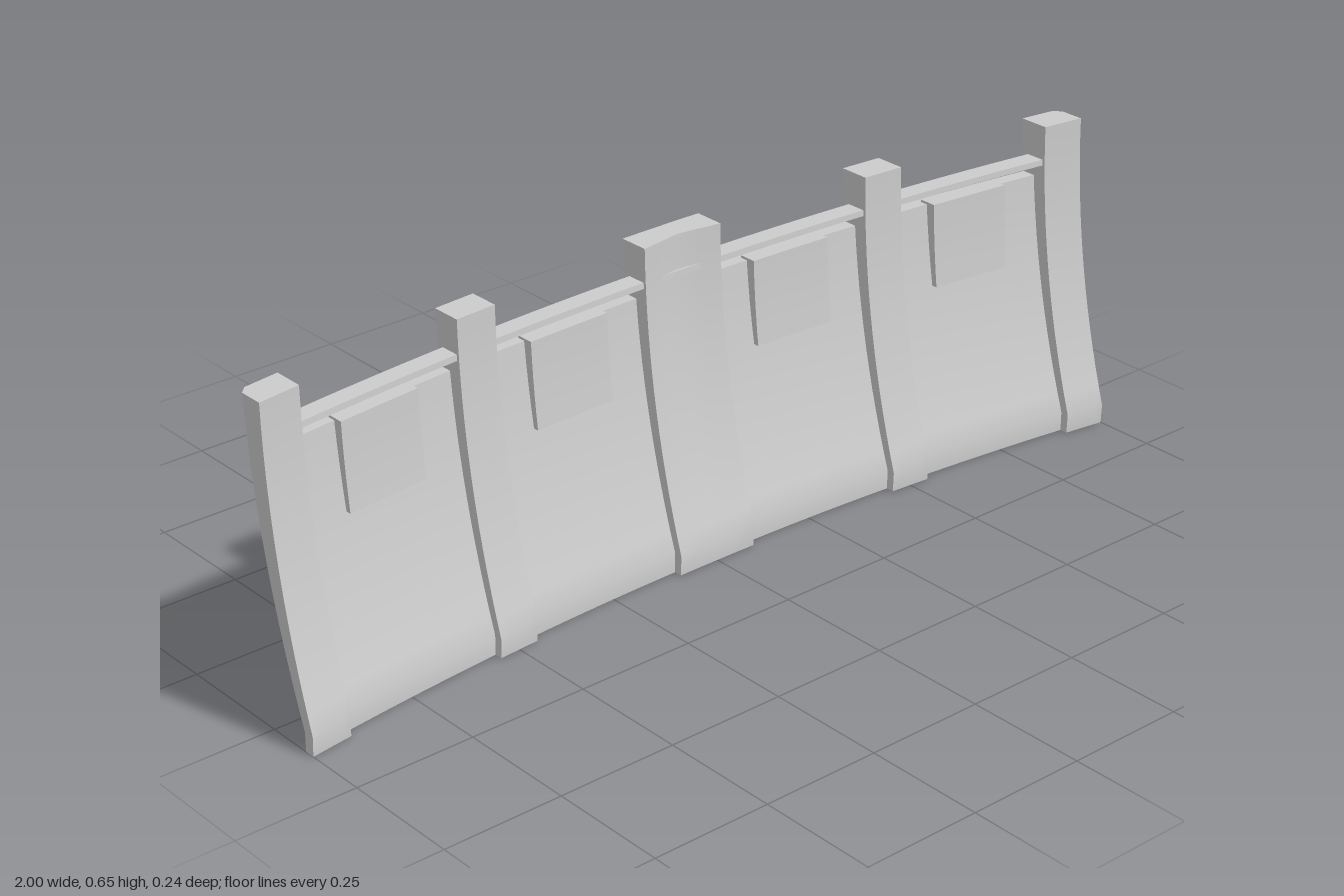
import * as THREE from 'three';

const material = new THREE.MeshStandardMaterial({ color: 0xcccccc });

// Rear surface of the wall: a short upright foot, then a backward lean; bowed in plan
function backZ(x, y) {
  const u = Math.max(0, y - 0.04);
  return 0.01 - 0.37 * u + 0.257 * u * u + 0.075 * x * x;
}
const postDepth = (x, y) => 0.035 + 0.045 * y;
const panelDepth = (x, y) => 0.018 + 0.02 * y;

// Box bent to the wall; inner and outer give the distance in front of the rear surface
function slab(name, x0, x1, y0, y1, inner, outer, segX, segY) {
  const geo = new THREE.BoxGeometry(x1 - x0, y1 - y0, 1, segX, segY, 1);
  geo.translate((x0 + x1) / 2, (y0 + y1) / 2, 0.5);
  const p = geo.attributes.position;
  for (let i = 0; i < p.count; i++) {
    const x = p.getX(i), y = p.getY(i);
    const offset = p.getZ(i) < 0.5 ? inner(x, y) : outer(x, y);
    p.setZ(i, backZ(x, y) + offset);
  }
  geo.computeVertexNormals();
  const mesh = new THREE.Mesh(geo, material);
  mesh.name = name;
  return mesh;
}

export function createModel() {
  const group = new THREE.Group();
  group.name = 'curvedParapet';
  const flush = () => 0;

  // Curved main panel
  group.add(slab('panel', -0.985, 0.985, 0, 0.54, flush, panelDepth, 48, 13));

  // Thin rail passing through the posts
  group.add(slab('rail', -0.96, 0.96, 0.568, 0.58, () => 0.014, () => 0.055, 48, 1));

  // Centre post, its front creased inward toward the top
  const creased = (x, y) => postDepth(x, y) - 0.014 * (y / 0.65) * (1 - Math.abs(x) / 0.093);
  group.add(slab('centrePost', -0.093, 0.093, 0, 0.65, flush, creased, 4, 16));

  for (const s of [-1, 1]) {
    const side = s > 0 ? 'left' : 'right';
    const add = (name, a, b, ...rest) =>
      group.add(slab(side + name, Math.min(s * a, s * b), Math.max(s * a, s * b), ...rest));

    // End post with a bevelled outer rear edge
    const bevel = (x) => (Math.abs(x) > 0.999 ? 0.013 : 0);
    add('EndPost', 0.91, 1, 0, 0.652, bevel, postDepth, 6, 16);

    // Intermediate post
    add('MiddlePost', 0.455, 0.545, 0, 0.65, flush, postDepth, 4, 16);

    // Raised pads below the rail
    const padFront = (x, y) => panelDepth(x, y) + 0.012 + 0.05 * (y - 0.37);
    add('InnerPad', 0.182, 0.367, 0.37, 0.545, () => 0.012, padFront, 4, 5);
    add('OuterPad', 0.637, 0.817, 0.37, 0.545, () => 0.012, padFront, 4, 5);
  }
  return group;
}
